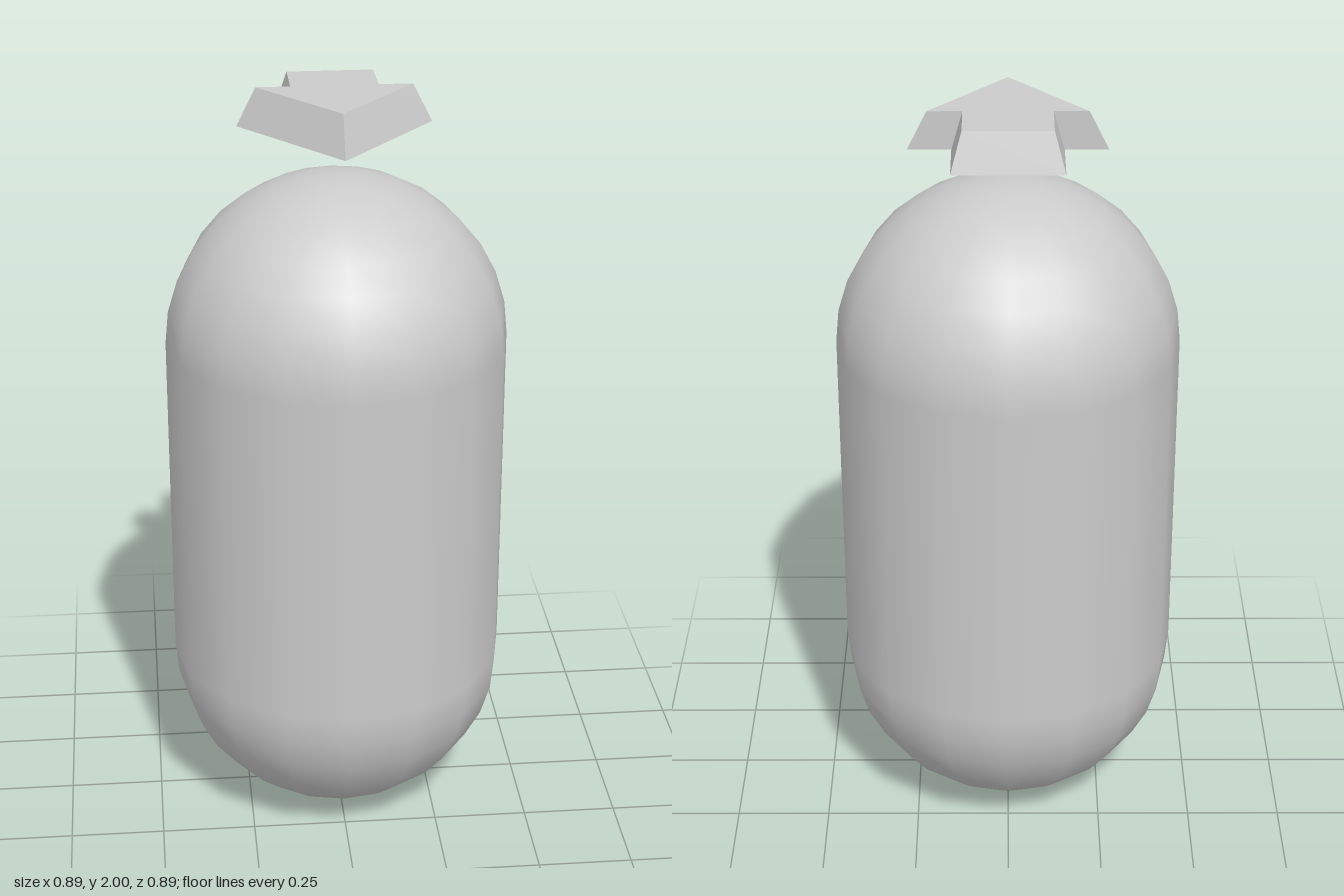
import * as THREE from 'three';

const material = new THREE.MeshStandardMaterial({ color: 0xcccccc });

// Smooth capsule body, as tall as four radii
function makeBody() {
  const radius = 0.4475;
  const body = new THREE.Mesh(new THREE.CapsuleGeometry(radius, radius * 2, 8, 16), material);
  body.name = 'capsuleBody';
  body.position.y = radius * 2;
  return body;
}

// Flat arrow pointing forward, tapering upward about the middle of its shoulder
function makeArrow() {
  const outline = [[0, -0.307], [0.25, 0], [0.14, 0], [0.14, 0.168], [-0.14, 0.168], [-0.14, 0], [-0.25, 0]];
  const shape = new THREE.Shape(outline.map(([x, y]) => new THREE.Vector2(x, y)));
  const geometry = new THREE.ExtrudeGeometry(shape, { depth: 0.1, bevelEnabled: false });
  const p = geometry.attributes.position;
  for (let i = 0; i < p.count; i++) {
    if (p.getZ(i) > 0.05) p.setXY(i, p.getX(i) * 0.8, p.getY(i) * 0.8);
  }
  geometry.rotateX(-Math.PI / 2);
  geometry.computeVertexNormals();
  const arrow = new THREE.Mesh(geometry, material);
  arrow.name = 'directionArrow';
  arrow.position.set(0, 1.9, -0.072);
  return arrow;
}

export function createModel() {
  const model = new THREE.Group();
  model.name = 'capsuleMarker';
  model.add(makeBody(), makeArrow());
  return model;
}
